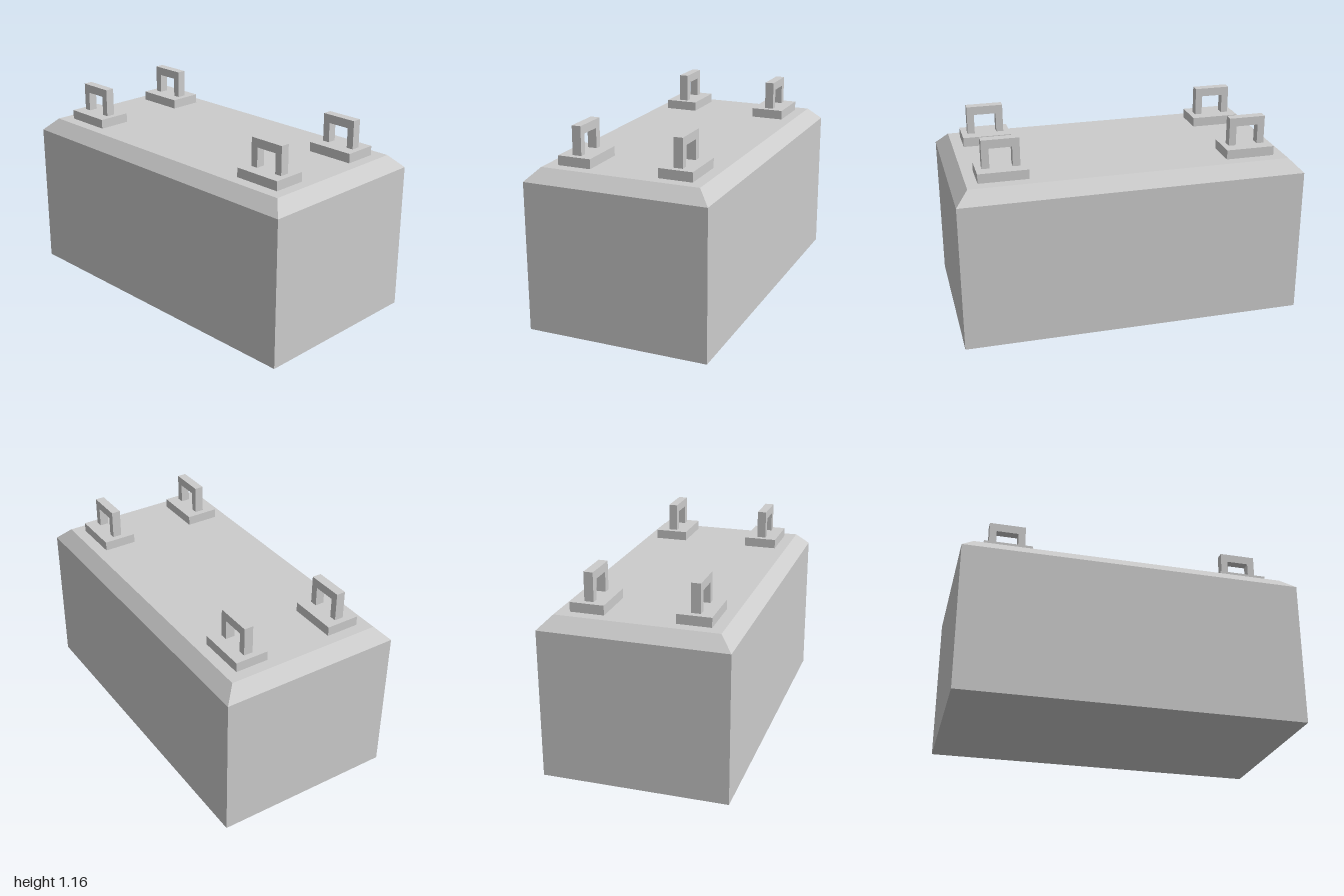
import * as THREE from 'three';

const material = new THREE.MeshStandardMaterial({ color: 0xcccccc, flatShading: true });

function part(name, geometry) {
  const mesh = new THREE.Mesh(geometry, material);
  mesh.name = name;
  return mesh;
}

// Block with a bevelled upper rim: a two-storey box whose top ring is drawn in
function blockGeometry() {
  const width = 1.07, length = 2, shoulder = 0.867, top = 0.94, inset = 0.073;
  const geometry = new THREE.BoxGeometry(width, 2, length, 1, 2, 1);
  const p = geometry.attributes.position;
  for (let i = 0; i < p.count; i++) {
    const level = Math.round(p.getY(i)) + 1;
    p.setY(i, [0, shoulder, top][level]);
    if (level === 2) {
      p.setX(i, Math.sign(p.getX(i)) * (width / 2 - inset));
      p.setZ(i, Math.sign(p.getZ(i)) * (length / 2 - inset));
    }
  }
  geometry.computeVertexNormals();
  return geometry;
}

// Square staple-shaped handle, profile drawn along z and extruded across x
function loopGeometry() {
  const w = 0.107, inner = 0.065, h = 0.165, innerH = 0.115, depth = 0.053;
  const outline = [[-w, 0], [-inner, 0], [-inner, innerH], [inner, innerH], [inner, 0], [w, 0], [w, h], [-w, h]];
  const shape = new THREE.Shape(outline.map(([x, y]) => new THREE.Vector2(x, y)));
  const geometry = new THREE.ExtrudeGeometry(shape, { depth, bevelEnabled: false });
  return geometry.translate(0, 0, -depth / 2).rotateY(Math.PI / 2);
}

export function createModel() {
  const model = new THREE.Group();
  model.name = 'liftingBlock';
  model.add(part('block', blockGeometry()));

  // Four lifting lugs: base plate and loop near each corner
  const plateGeo = new THREE.BoxGeometry(0.195, 0.055, 0.286).translate(0, 0.0275, 0);
  const loopGeo = loopGeometry();
  for (const [sx, side] of [[1, 'Left'], [-1, 'Right']]) {
    for (const [sz, end] of [[1, 'front'], [-1, 'back']]) {
      const lug = new THREE.Group();
      lug.name = `${end}${side}Lug`;
      const loop = part('loop', loopGeo);
      loop.position.y = 0.055;
      lug.add(part('basePlate', plateGeo), loop);
      lug.position.set(sx * 0.297, 0.94, sz * 0.719);
      model.add(lug);
    }
  }
  return model;
}
